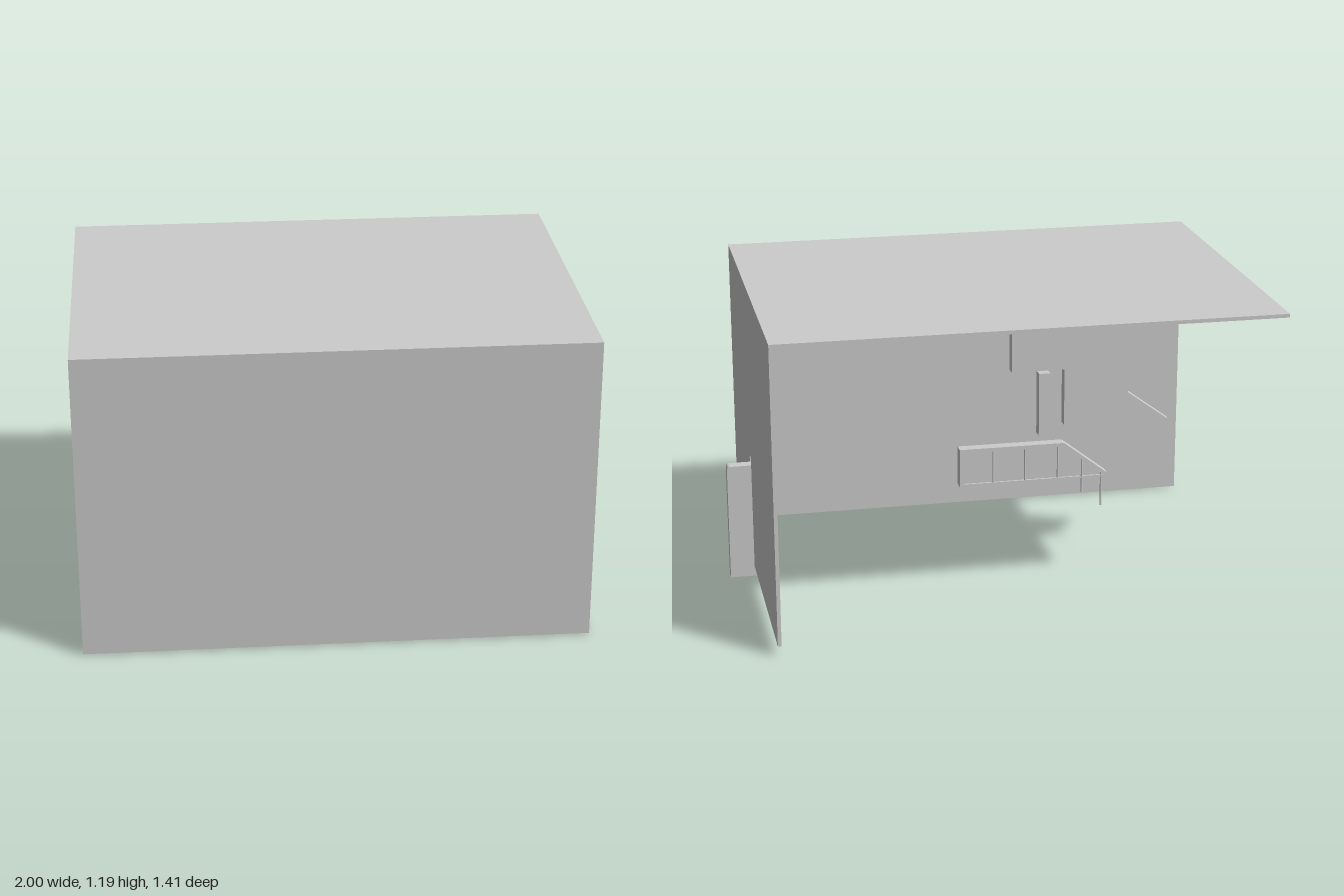
import * as THREE from 'three';

export function createModel() {
  const grey = new THREE.MeshStandardMaterial({ color: 0xcccccc });
  grey.name = 'plainGrey';
  const model = new THREE.Group();
  model.name = 'roomSection';

  const T = 0.014;               // wall thickness
  const Z0 = 0.068, Z1 = 0.113;  // shared plane of the inner partition parts

  const add = (name, geometry) => {
    const mesh = new THREE.Mesh(geometry, grey);
    mesh.name = name;
    model.add(mesh);
    return mesh;
  };
  // box given by its minimum and maximum corners
  const box = (name, x0, x1, y0, y1, z0, z1) =>
    add(name, new THREE.BoxGeometry(x1 - x0, y1 - y0, z1 - z0))
      .position.set((x0 + x1) / 2, (y0 + y1) / 2, (z0 + z1) / 2);
  // flat outline in x and y, extruded across the partition plane
  const slab = (name, shape) => {
    const mesh = add(name, new THREE.ExtrudeGeometry(shape, { depth: Z1 - Z0, bevelEnabled: false, curveSegments: 6 }));
    mesh.position.z = Z0;
  };
  const outline = (points) => new THREE.Shape(points.map(([x, y]) => new THREE.Vector2(x, y)));

  // Shell: roof and front wall, open at the back, bottom and one side
  box('roof', -1, 0.905, 1.19 - T, 1.19, -0.705, 0.705);
  box('frontWall', -1, 0.905, 0.004, 1.19 - T, 0.705 - T, 0.705);

  // Side wall with a round-topped slot; shape x is -z
  const r = (Z1 - Z0) / 2;
  const side = new THREE.Shape();
  side.moveTo(-0.705 + T, 0.004);
  side.lineTo(-Z1, 0.004);
  side.lineTo(-Z1, 0.505 - r);
  side.absarc(-(Z0 + Z1) / 2, 0.505 - r, r, Math.PI, 0, true);
  side.lineTo(-Z0, 0.04);
  side.lineTo(0.705, 0.04);
  side.lineTo(0.705, 1.19 - T);
  side.lineTo(-0.705 + T, 1.19 - T);
  const wall = add('sideWall', new THREE.ExtrudeGeometry(side, { depth: T, bevelEnabled: false, curveSegments: 12 }));
  wall.rotation.y = Math.PI / 2;
  wall.position.x = 0.905 - T;

  // Post standing through the slot, its top corners rounded
  const post = new THREE.Shape();
  post.moveTo(0.83, 0);
  post.lineTo(1, 0);
  post.lineTo(1, 0.45);
  post.quadraticCurveTo(1, 0.465, 0.985, 0.465);
  post.lineTo(0.845, 0.465);
  post.quadraticCurveTo(0.83, 0.465, 0.83, 0.45);
  slab('slotPost', post);

  // Upper partition following the stair slope
  slab('stairPartition', outline([
    [-0.134, 0.98], [-0.61, 0.98], [-0.61, 0.665], [-0.78, 0.54],
    [-0.583, 0.35], [-0.348, 0.545], [-0.348, 0.777], [-0.134, 0.777],
  ]));
  box('partitionStrip', -0.29, -0.245, 0.505, 0.765, Z0, Z1);

  // Handrail: level along the landing, then sloping down, with an end plate
  slab('handrail', outline([
    [0.076, 0.31], [0.076, 0.468], [-0.35, 0.468], [-0.53, 0.328],
    [-0.524, 0.315], [-0.345, 0.453], [0.062, 0.453], [0.062, 0.31],
  ]));
  const zm = (Z0 + Z1) / 2;
  box('lowerRail', -0.53, 0.062, 0.306, 0.314, zm - 0.004, zm + 0.004);

  // Balusters under the handrail
  const railY = (x) => 0.458 + Math.min(0, (x + 0.347) * 0.775);
  for (const x of [-0.065, -0.195, -0.33, -0.43, -0.51]) {
    const top = railY(x), height = 0.15;
    add('baluster', new THREE.CylinderGeometry(0.004, 0.004, height, 8))
      .position.set(x, top - height / 2, zm);
  }
  return model;
}
